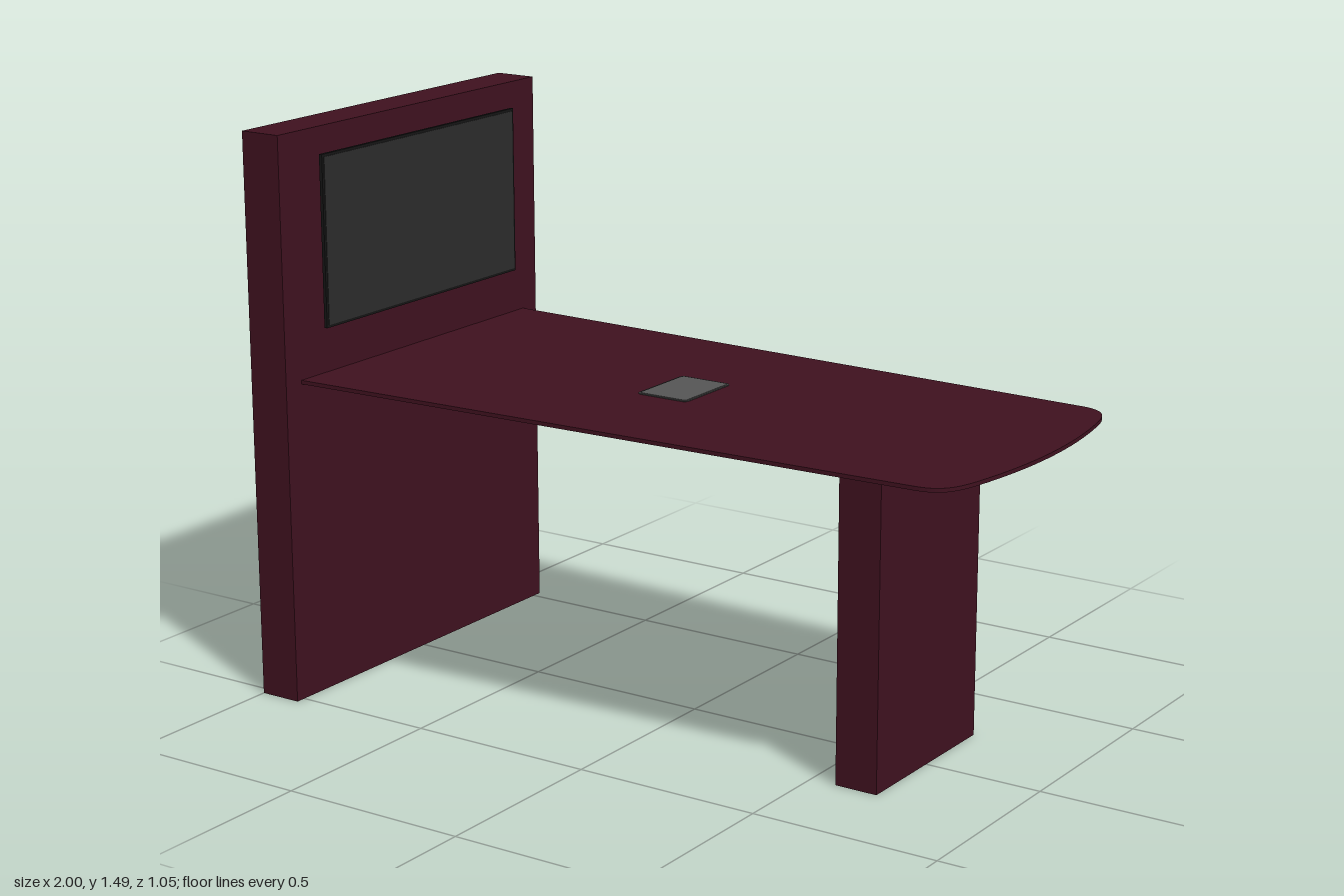
import * as THREE from 'three';

const paint = (color) => new THREE.MeshStandardMaterial({ color });

function rect(w, h, cx = 0, cy = 0, Type = THREE.Shape) {
  const s = new Type();
  s.moveTo(cx - w / 2, cy - h / 2);
  s.lineTo(cx + w / 2, cy - h / 2);
  s.lineTo(cx + w / 2, cy + h / 2);
  s.lineTo(cx - w / 2, cy + h / 2);
  s.closePath();
  return s;
}

function roundedRect(w, h, r, cx) {
  const s = new THREE.Shape();
  const x = w / 2 - r, y = h / 2 - r;
  s.absarc(cx + x, y, r, 0, Math.PI / 2);
  s.absarc(cx - x, y, r, Math.PI / 2, Math.PI);
  s.absarc(cx - x, -y, r, Math.PI, Math.PI * 1.5);
  s.absarc(cx + x, -y, r, Math.PI * 1.5, Math.PI * 2);
  s.closePath();
  return s;
}

// Shape drawn in (x, z), given thickness from y0 to y1
function slab(shape, y0, y1) {
  const g = new THREE.ExtrudeGeometry(shape, { depth: y1 - y0, bevelEnabled: false, curveSegments: 16 });
  return g.rotateX(Math.PI / 2).translate(0, y1, 0);
}

// Shape drawn in (z, y), run from x0 to x1 (shapes are symmetric in z)
function alongX(shape, x0, x1) {
  const g = new THREE.ExtrudeGeometry(shape, { depth: x1 - x0, bevelEnabled: false });
  return g.rotateY(Math.PI / 2).translate(x0, 0, 0);
}

// Tapered table outline with a bowed, round-cornered end, inset by d
function tableOutline(d) {
  const s = new THREE.Shape();
  s.moveTo(-0.885, -0.468 + d);
  s.lineTo(0.87 - d, -0.41 + d);
  s.bezierCurveTo(0.93 - d, -0.408 + d, 0.955 - d, -0.375 + d, 0.97 - d, -0.3 + d);
  s.quadraticCurveTo(1.03 - d, 0, 0.97 - d, 0.3 - d);
  s.bezierCurveTo(0.955 - d, 0.375 - d, 0.93 - d, 0.408 - d, 0.87 - d, 0.41 - d);
  s.lineTo(-0.885, 0.468 - d);
  s.closePath();
  return s;
}

export function createModel() {
  const root = new THREE.Group();
  const wood = paint(0x3f111f);
  const black = paint(0x151515);
  const glass = paint(0x2b2b2b);
  const grey = paint(0x555555);

  const add = (name, geometry, material) => {
    const mesh = new THREE.Mesh(geometry, material);
    mesh.name = name;
    root.add(mesh);
    return mesh;
  };
  const box = (name, material, x0, x1, y0, y1, w) =>
    add(name, new THREE.BoxGeometry(x1 - x0, y1 - y0, w), material)
      .position.set((x0 + x1) / 2, (y0 + y1) / 2, 0);

  // End wall: front plate with a surrounding rim, open at the back
  box('wallPlate', wood, -0.905, -0.885, 0, 1.485, 1.054);
  const rim = rect(1.054, 1.485, 0, 0.7425);
  rim.holes.push(rect(1.026, 1.457, 0, 0.7425, THREE.Path));
  add('wallRim', alongX(rim, -1, -0.905), wood);

  // Table top
  add('tableTop', slab(tableOutline(0), 0.838, 0.848), wood);

  // Under-top panel with a chamfered lower edge
  const under = slab(tableOutline(0.1), 0.818, 0.838);
  const p = under.attributes.position;
  for (let i = 0; i < p.count; i++) {
    if (p.getY(i) < 0.828) {
      p.setZ(i, p.getZ(i) * 0.95);
      if (p.getX(i) > 0) p.setX(i, p.getX(i) - 0.018);
    }
  }
  under.computeVertexNormals();
  add('underPanel', under, wood);

  // Sloped-side beam between wall and leg
  const section = new THREE.Shape();
  section.moveTo(-0.17, 0.748);
  section.lineTo(0.17, 0.748);
  section.lineTo(0.26, 0.82);
  section.lineTo(-0.26, 0.82);
  section.closePath();
  const beam = alongX(section, -0.885, 0.57);
  const b = beam.attributes.position;
  for (let i = 0; i < b.count; i++) if (b.getX(i) > 0) b.setZ(i, b.getZ(i) * 0.9);
  beam.computeVertexNormals();
  add('beam', beam, wood);

  // Hollow leg, open at the floor and closed on top
  const leg = rect(0.115, 0.48, 0.6275, 0);
  leg.holes.push(rect(0.089, 0.454, 0.6275, 0, THREE.Path));
  add('leg', slab(leg, 0, 0.797), wood);
  box('legCap', wood, 0.57, 0.685, 0.797, 0.81, 0.48);

  // Display held just off the wall
  box('screenFrame', black, -0.864, -0.855, 0.973, 1.42, 0.794);
  box('screenGlass', glass, -0.857, -0.8535, 0.98, 1.413, 0.78);

  // Cable hatch in the table top
  add('hatchRim', slab(roundedRect(0.15, 0.205, 0.015, -0.032), 0.846, 0.8495), paint(0x3c3c3c));
  add('hatchLid', slab(roundedRect(0.138, 0.193, 0.01, -0.032), 0.848, 0.851), grey);

  return root;
}
